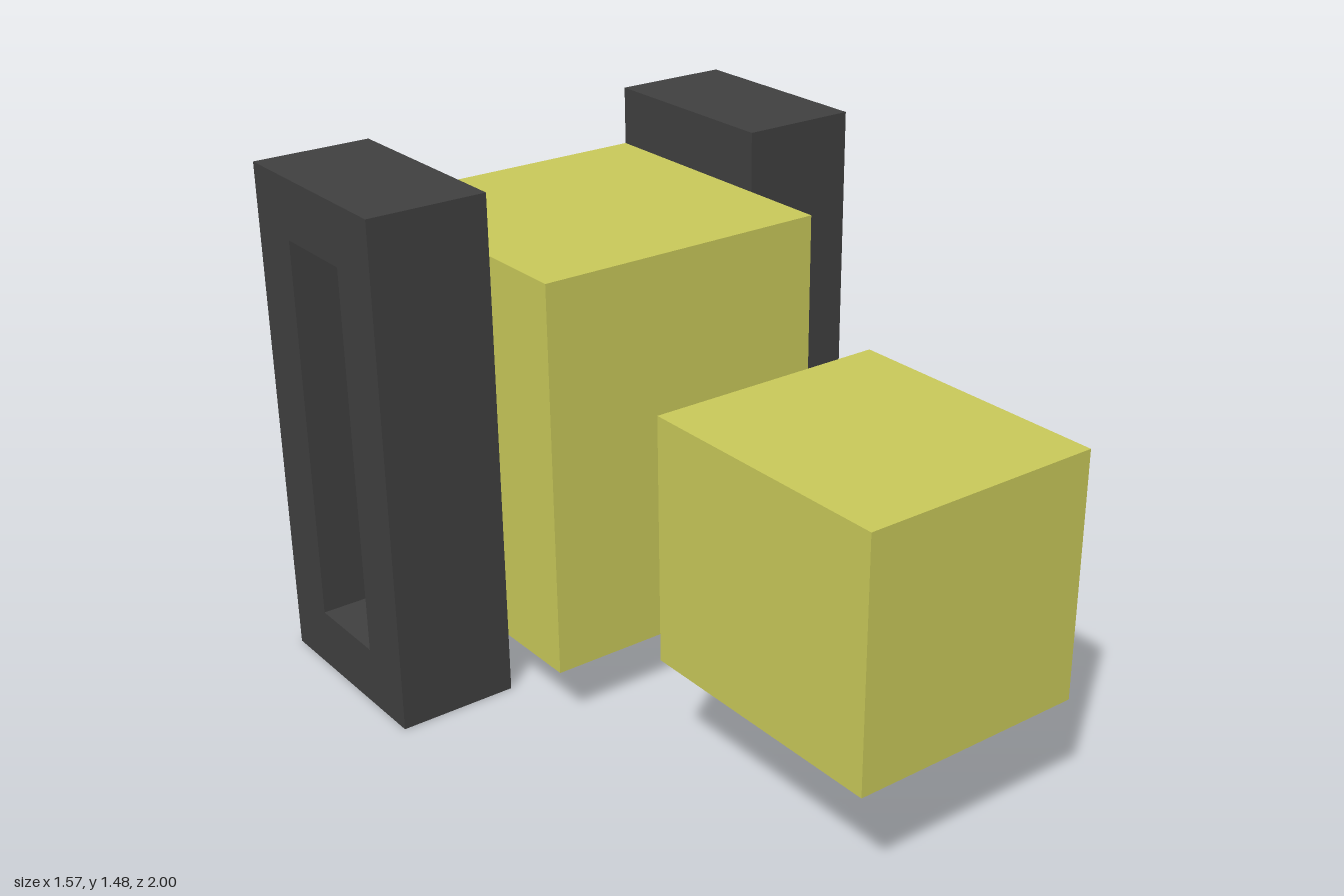
import * as THREE from 'three';

const U = 0.087; // module unit that all block sizes follow

function material(name, color) {
  const m = new THREE.MeshStandardMaterial({ color });
  m.name = name;
  return m;
}

function box(name, mat, w, h, d, x, y, z) {
  const mesh = new THREE.Mesh(new THREE.BoxGeometry(w, h, d), mat);
  mesh.name = name;
  mesh.position.set(x, y, z);
  return mesh;
}

function rectangle(path, w, h) {
  path.moveTo(-w / 2, -h / 2);
  path.lineTo(w / 2, -h / 2);
  path.lineTo(w / 2, h / 2);
  path.lineTo(-w / 2, h / 2);
  path.closePath();
  return path;
}

// Side block facing +x, with a slot recessed halfway into its outer face
function sideBlock(name, dark, grey) {
  const group = new THREE.Group();
  group.name = name;
  const shape = rectangle(new THREE.Shape(), 7 * U, 17 * U);
  shape.holes.push(rectangle(new THREE.Path(), 3.05 * U, 13 * U));
  const rim = new THREE.ExtrudeGeometry(shape, { depth: 2 * U, bevelEnabled: false });
  rim.rotateY(Math.PI / 2);
  const frame = new THREE.Mesh(rim, dark);
  frame.name = 'slotFrame';
  frame.position.x = 2 * U;
  group.add(
    frame,
    box('innerBlock', dark, 2 * U, 17 * U, 7 * U, U, 0, 0),
    box('slotFloor', grey, 0.006, 13 * U, 3.05 * U, 2 * U, 0, 0)
  );
  return group;
}

// Thin plate under the front block; points are fractions across its underside
function undersidePlate(name, mat, points) {
  const shape = new THREE.Shape(points.map(([s, t]) =>
    new THREE.Vector2((0.5 - s) * 8 * U, 1 - (1 - t) * 9 * U)));
  const geo = new THREE.ExtrudeGeometry(shape, { depth: 0.004, bevelEnabled: false });
  geo.rotateX(Math.PI / 2);
  const mesh = new THREE.Mesh(geo, mat);
  mesh.name = name;
  mesh.position.y = 4.03 * U;
  return mesh;
}

export function createModel() {
  const model = new THREE.Group();
  model.name = 'blockModel';
  const yellow = material('yellow', 0xcaca5a);
  const dark = material('darkGrey', 0x404040);
  const grey = material('midGrey', 0x666666);

  // Main body and separate front block
  model.add(box('body', yellow, 10 * U, 13 * U, 10 * U, 0, 8.53 * U, -1 + 5 * U));
  model.add(box('frontBlock', yellow, 8 * U, 8 * U, 9 * U, 0, 8.03 * U, 1 - 4.5 * U));

  // Slotted blocks on both sides
  for (const side of [1, -1]) {
    const block = sideBlock(side > 0 ? 'leftSideBlock' : 'rightSideBlock', dark, grey);
    block.position.set(side * 5 * U, 8.5 * U, -1 + 3.5 * U);
    if (side < 0) block.rotation.y = Math.PI;
    model.add(block);
  }

  // Dark underside patch with a notch
  model.add(undersidePlate('undersidePatch', dark, [
    [0.15, 0.47], [0.18, 0.44], [0.35, 0.44], [0.38, 0.47], [0.38, 0.55], [0.42, 0.58],
    [0.58, 0.58], [0.62, 0.55], [0.62, 0.47], [0.65, 0.44], [0.85, 0.44], [0.88, 0.47],
    [0.88, 0.86], [0.85, 0.89], [0.18, 0.89], [0.15, 0.86]
  ]));

  // Dark underside strip, pinched between its segments
  const near = [], far = [];
  for (let i = 0; i < 5; i++) {
    for (const [f, inset] of [[0, 0.025], [0.1, 0], [0.9, 0], [1, 0.025]]) {
      const s = 0.12 + (i + f) * 0.152 - (f === 1 ? 0.001 : 0);
      near.push([s, 0.23 + inset]);
      far.unshift([s, 0.31 - inset]);
    }
  }
  model.add(undersidePlate('undersideStrip', dark, [...near, ...far]));

  return model;
}
